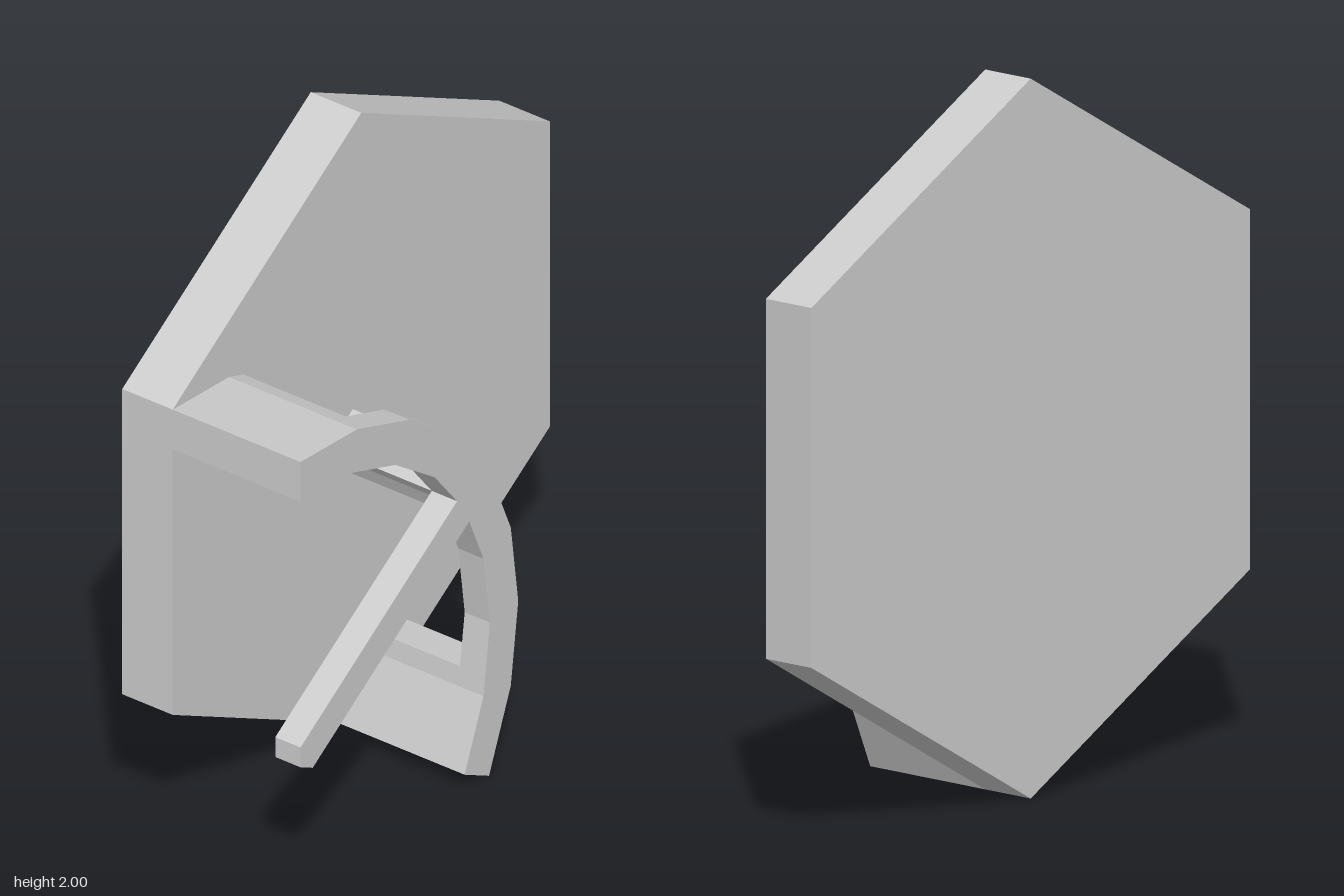
import * as THREE from 'three';

const deg = Math.PI / 180;
const STEP = 15;                       // facet angle of the curved rim
const CX = -Math.sqrt(3) / 2, CY = 0.5; // centre of the rim, on the plate's lower left corner
const OUTER = 1, INNER = 0.87;
const PLATE_BACK = -0.3, PLATE_FRONT = -0.13, RIM_BACK = 0.215, RIM_FRONT = 0.3;

const material = new THREE.MeshStandardMaterial({ color: 0xcccccc, flatShading: true });

// Point on the faceted circle at any angle in degrees
function onRim(radius, angle) {
  const within = angle - Math.floor(angle / STEP) * STEP;
  const r = radius * Math.cos(STEP / 2 * deg) / Math.cos((within - STEP / 2) * deg);
  return new THREE.Vector2(CX + r * Math.cos(angle * deg), CY + r * Math.sin(angle * deg));
}

// Outline of a faceted ring sector, corners kept at multiples of STEP
function sector(from, to) {
  const angles = [from];
  for (let a = (Math.floor(from / STEP) + 1) * STEP; a < to; a += STEP) angles.push(a);
  angles.push(to);
  return [
    ...angles.map(a => onRim(OUTER, a)),
    ...angles.reverse().map(a => onRim(INNER, a)),
  ];
}

// Flat slab from an outline, between two depths
function slab(name, points, back, front) {
  const geometry = new THREE.ExtrudeGeometry(new THREE.Shape(points), {
    depth: front - back, bevelEnabled: false,
  });
  geometry.translate(0, 0, back);
  const mesh = new THREE.Mesh(geometry, material);
  mesh.name = name;
  return mesh;
}

export function createModel() {
  const group = new THREE.Group();
  group.name = 'hexTile';

  // Hexagonal back plate
  const hexagon = [];
  for (let i = 0; i < 6; i++) {
    const a = (30 + 60 * i) * deg;
    hexagon.push(new THREE.Vector2(Math.cos(a), 1 + Math.sin(a)));
  }
  group.add(slab('backPlate', hexagon, PLATE_BACK, PLATE_FRONT));

  // Curved rim held in front of the plate
  group.add(slab('rim', sector(-30, 90), RIM_BACK, RIM_FRONT));

  // Posts joining rim and plate: both ends and the middle
  const posts = [['upperPost', 71, 90], ['middlePost', 26.3, 33.7], ['lowerPost', -30, -11]];
  for (const [name, from, to] of posts) {
    group.add(slab(name, sector(from, to), PLATE_FRONT, RIM_BACK));
  }

  // Spoke from the plate's corner to the middle of the rim
  const spoke = [
    [CX, CY], [CX + 0.056, CY - 0.032],
  ].map(([x, y]) => new THREE.Vector2(x, y));
  spoke.push(onRim(INNER, 26.3), onRim(INNER, 30), onRim(INNER, 33.7), new THREE.Vector2(CX, CY + 0.065));
  group.add(slab('spoke', spoke, RIM_BACK, RIM_FRONT));

  return group;
}
